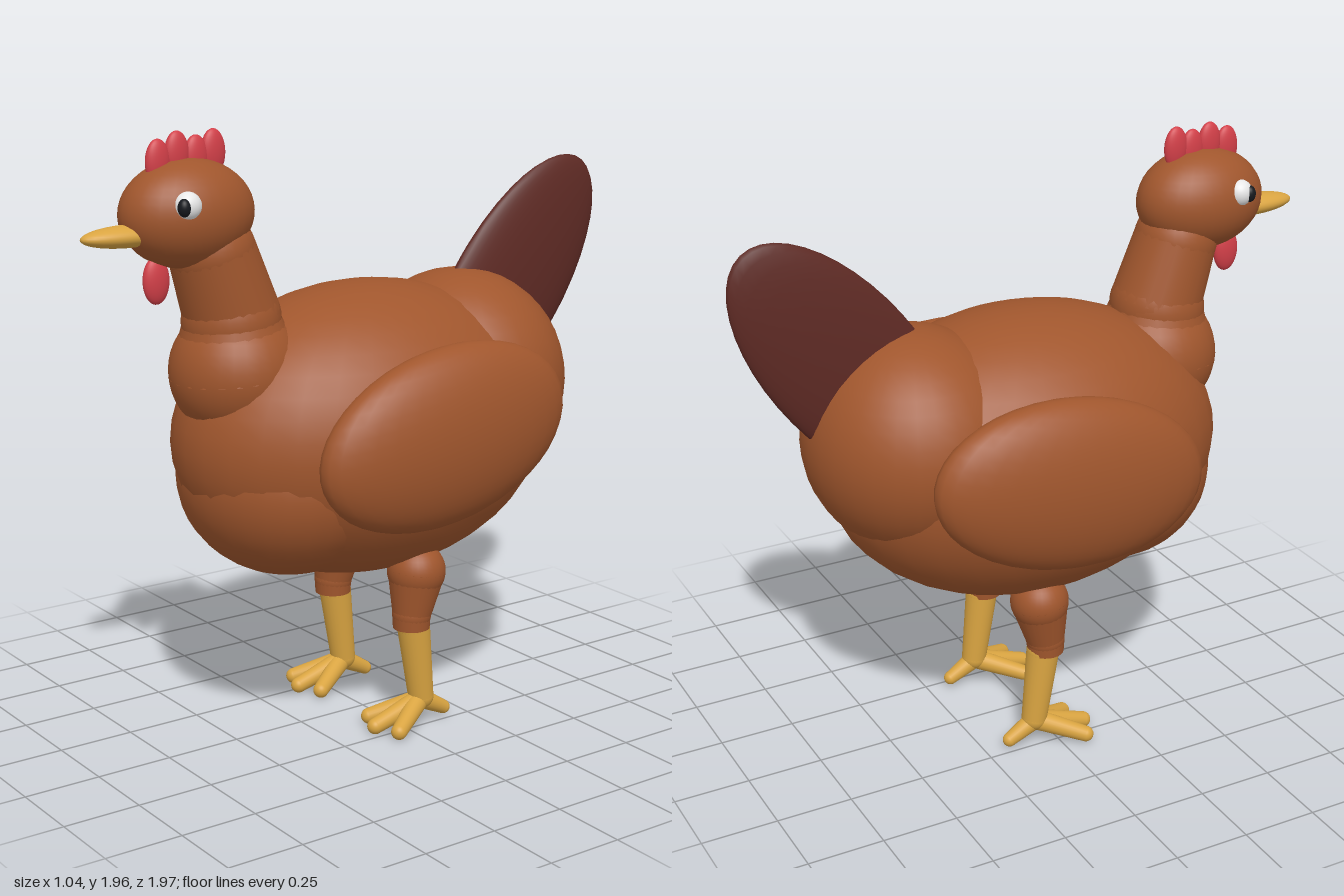
import * as THREE from 'three';

export function createModel() {
  const root = new THREE.Group();
  root.name = 'hen';
  const mat = (name, color) => {
    const m = new THREE.MeshStandardMaterial({ color });
    m.name = name;
    return m;
  };
  const brown = mat('brown feathers', 0xa0562d);
  const dark = mat('dark tail feathers', 0x5e2a24);
  const red = mat('red comb', 0xd23f48);
  const yellow = mat('yellow horn', 0xd9a441);
  const white = mat('eye white', 0xf0f0f0);
  const black = mat('pupil black', 0x16191e);

  const ball = new THREE.SphereGeometry(1, 32, 22);

  // Ellipsoid, optionally tilted about x
  function blob(name, material, pos, radii, tilt = 0, parent = root) {
    const m = new THREE.Mesh(ball, material);
    m.name = name;
    m.position.set(...pos);
    m.scale.set(...radii);
    m.rotation.x = tilt;
    parent.add(m);
    return m;
  }

  // Tapered limb with rounded ends from a (radius ra) to b (radius rb)
  function limb(name, material, a, ra, b, rb, parent = root) {
    const g = new THREE.Group();
    g.name = name;
    const va = new THREE.Vector3(...a), vb = new THREE.Vector3(...b);
    const dir = vb.clone().sub(va);
    const shaft = new THREE.Mesh(
      new THREE.CylinderGeometry(rb, ra, dir.length(), 24, 1, true), material);
    shaft.name = name + 'Shaft';
    shaft.position.copy(va).lerp(vb, 0.5);
    shaft.quaternion.setFromUnitVectors(new THREE.Vector3(0, 1, 0), dir.normalize());
    g.add(shaft);
    blob(name + 'Start', material, a, [ra, ra, ra], 0, g);
    blob(name + 'End', material, b, [rb, rb, rb], 0, g);
    parent.add(g);
  }

  // Body masses
  blob('body', brown, [0, 0.975, 0], [0.46, 0.475, 0.67]);
  blob('breast', brown, [0, 0.86, 0.3], [0.365, 0.32, 0.345]);
  blob('rump', brown, [0, 1.09, -0.39], [0.365, 0.36, 0.35]);
  blob('tail', dark, [0, 1.36, -0.6], [0.056, 0.235, 0.52], 0.91);

  // Neck and head
  limb('lowerNeck', brown, [0, 1.215, 0.48], 0.21, [0, 1.37, 0.495], 0.155);
  limb('upperNeck', brown, [0, 1.38, 0.49], 0.15, [0, 1.59, 0.56], 0.135);
  blob('head', brown, [0, 1.715, 0.645], [0.157, 0.165, 0.218]);
  blob('beak', yellow, [0, 1.663, 0.84], [0.056, 0.034, 0.16]);
  blob('wattle', red, [0, 1.522, 0.755], [0.024, 0.072, 0.044]);

  // Comb lobes
  [[0.74, 1.87], [0.675, 1.89], [0.61, 1.875], [0.55, 1.89]].forEach(([z, y], i) =>
    blob('combLobe' + (i + 1), red, [0, y, z], [0.022, 0.07, 0.041]));

  // Mirrored parts
  for (const [s, side] of [[1, 'left'], [-1, 'right']]) {
    blob(side + 'Wing', brown, [s * 0.39, 1.01, -0.035], [0.132, 0.282, 0.47], 0.17);
    blob(side + 'Eye', white, [s * 0.125, 1.754, 0.715], [0.04, 0.043, 0.043]);
    blob(side + 'Pupil', black, [s * 0.147, 1.753, 0.739], [0.02, 0.027, 0.02]);

    const leg = new THREE.Group();
    leg.name = side + 'Leg';
    root.add(leg);
    const x = s * 0.222;
    limb('thigh', brown, [x - s * 0.003, 0.525, -0.055], 0.095, [x, 0.385, -0.035], 0.064, leg);
    const cuff = new THREE.Mesh(new THREE.CylinderGeometry(0.063, 0.06, 0.05, 24), brown);
    cuff.name = 'thighCuff';
    cuff.position.set(x, 0.362, -0.034);
    leg.add(cuff);
    limb('shank', yellow, [x, 0.34, -0.043], 0.054, [x, 0.09, -0.075], 0.042, leg);

    // Three front toes and one hind toe
    for (const [dx, tz] of [[-0.083, 0.075], [0, 0.11], [0.083, 0.075]])
      limb('frontToe', yellow, [x, 0.078, -0.065], 0.034, [x + dx, 0.027, tz], 0.026, leg);
    limb('hindToe', yellow, [x, 0.078, -0.08], 0.032, [x, 0.03, -0.167], 0.023, leg);
  }
  return root;
}
